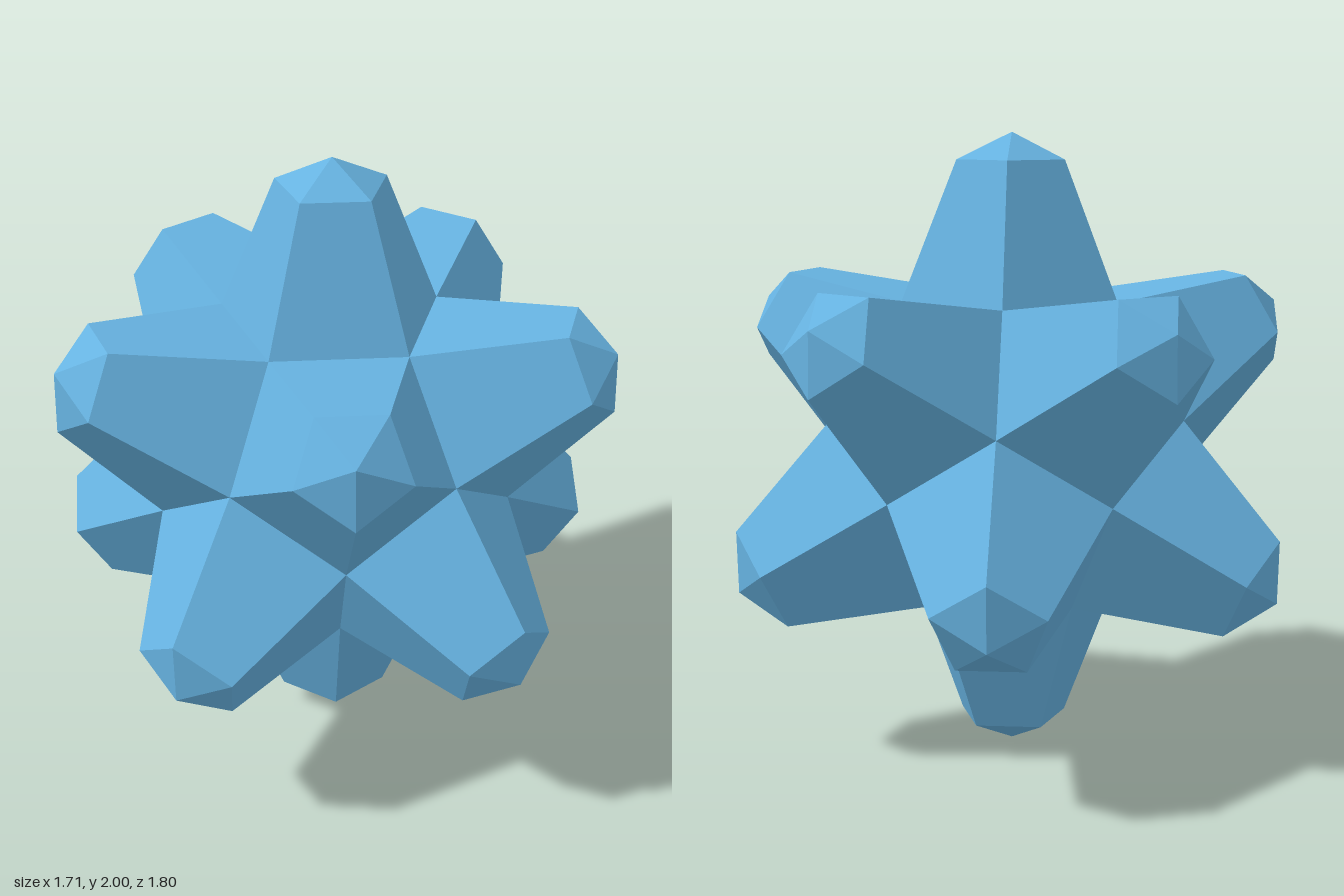
import * as THREE from 'three';

export function createModel() {
  const model = new THREE.Group();
  model.name = 'spikedDodecahedron';
  const material = new THREE.MeshStandardMaterial({ color: 0x66b2e0, flatShading: true });

  // Five-sided tapered arm with a shallow pointed tip; its base ring is one face of a dodecahedron
  const profile = [[0.36, 0.471], [0.18, 0.915], [0, 1]].map(([r, y]) => new THREE.Vector2(r, y));
  const armGeometry = new THREE.LatheGeometry(profile, 5);
  const tilt = Math.atan(2); // angle between neighbouring face axes

  function addArm(parent, name, tiltAngle, turn, spin) {
    const arm = new THREE.Mesh(armGeometry, material);
    arm.name = name;
    arm.rotation.set(tiltAngle, turn, spin, 'YXZ');
    // Spin about the arm's own axis so base edges meet the neighbours
    arm.rotation.z = 0;
    arm.rotateY(spin);
    parent.add(arm);
  }

  // Each half: one axial arm and a ring of five; the lower half is the upper one turned over
  for (const [name, flip] of [['upper', 0], ['lower', Math.PI]]) {
    const half = new THREE.Group();
    half.name = name + 'Half';
    addArm(half, name + 'PoleArm', 0, 0, 0);
    for (let i = 0; i < 5; i++) {
      addArm(half, name + 'RingArm' + (i + 1), -tilt, (i * 2 * Math.PI) / 5, Math.PI);
    }
    half.rotation.x = flip;
    half.position.y = 1;
    model.add(half);
  }
  return model;
}
